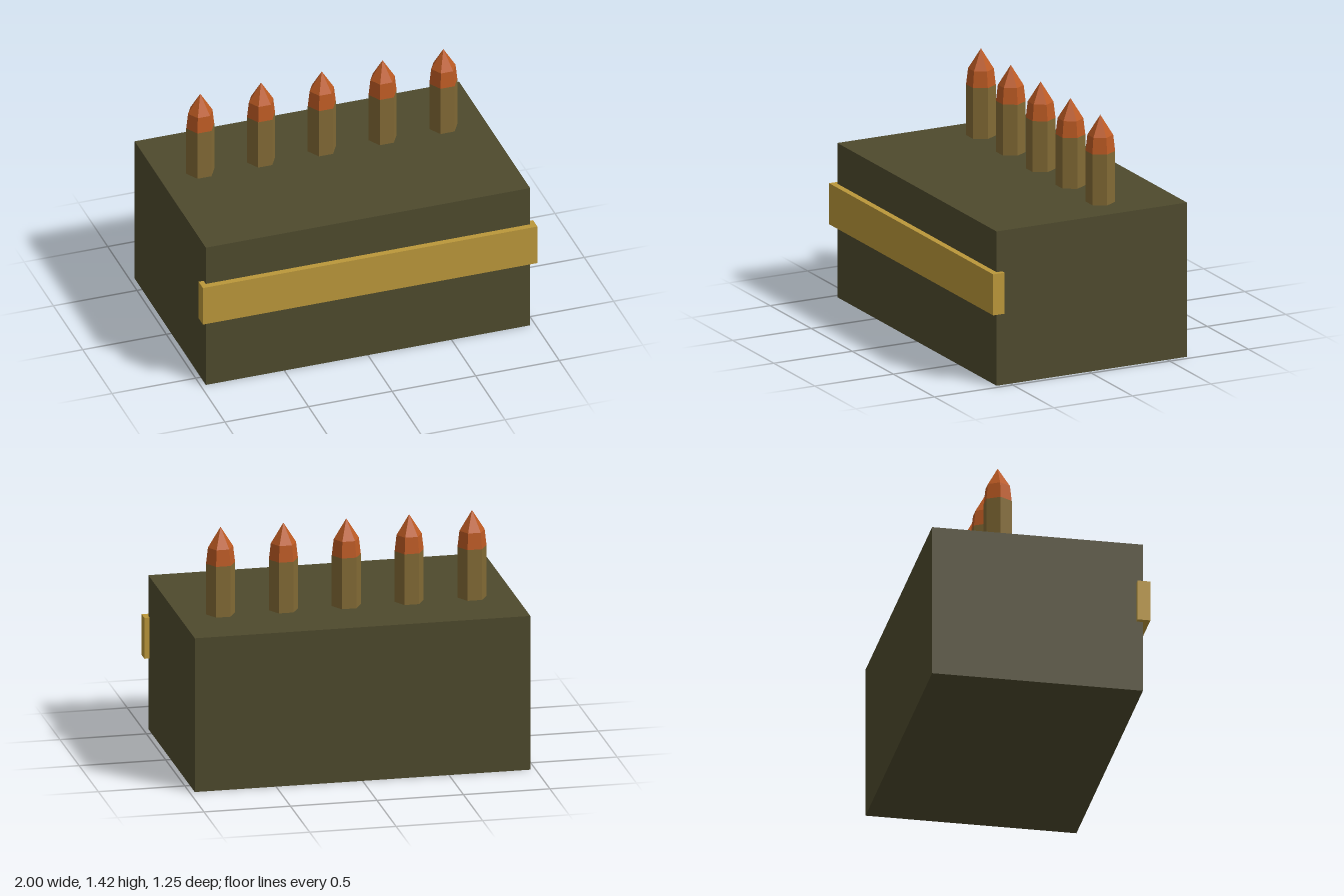
import * as THREE from 'three';

const paint = (name, color) => {
  const m = new THREE.MeshStandardMaterial({ color, flatShading: true });
  m.name = name;
  return m;
};

export function createModel() {
  const olive = paint('olive', 0x4e4a2d);
  const gold = paint('gold', 0xbb973a);
  const brass = paint('brass', 0x826a35);
  const copper = paint('copper', 0xbc5a23);

  const model = new THREE.Group();
  model.name = 'ammoBox';

  // Box spanning the given minimum and maximum corners
  const block = (name, material, min, max) => {
    const size = max.map((v, i) => v - min[i]);
    const mesh = new THREE.Mesh(new THREE.BoxGeometry(...size), material);
    mesh.position.set(...max.map((v, i) => (v + min[i]) / 2));
    mesh.name = name;
    model.add(mesh);
  };

  // Crate and the band across its front
  block('crate', olive, [-0.97, 0, -0.625], [0.97, 0.91, 0.588]);
  block('frontBand', gold, [-1, 0.428, 0.552], [1, 0.67, 0.625]);

  // Six-sided turned part with corners on the x axis
  const turned = (points) => new THREE.LatheGeometry(
    points.map(([r, y]) => new THREE.Vector2(r, y)), 6, Math.PI / 6);
  const caseGeometry = turned([[0.084, 0.9], [0.084, 1.21]]);
  const tipGeometry = turned([[0.084, 1.21], [0.073, 1.305], [0, 1.423]]);

  // Row of cartridges standing in the crate
  for (let i = -2; i <= 2; i++) {
    const cartridge = new THREE.Group();
    cartridge.name = 'cartridge' + (i + 3);
    const casing = new THREE.Mesh(caseGeometry, brass);
    casing.name = 'casing';
    const tip = new THREE.Mesh(tipGeometry, copper);
    tip.name = 'tip';
    cartridge.add(casing, tip);
    cartridge.position.set(i * 0.3635, 0, -0.2);
    model.add(cartridge);
  }
  return model;
}
